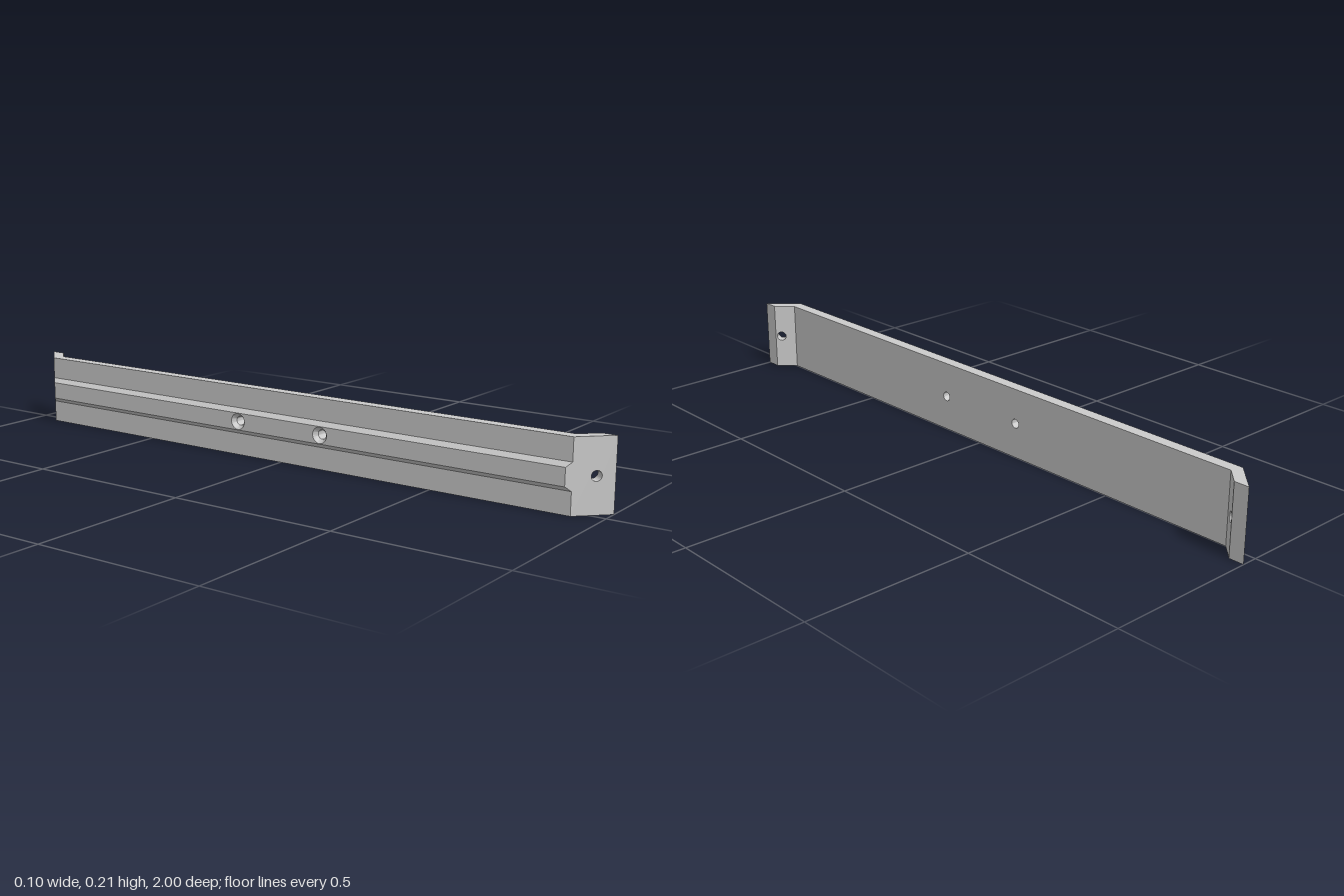
import * as THREE from 'three';
import { toCreasedNormals } from 'three/addons/utils/BufferGeometryUtils.js';

const MID = 0.104; // mid height of the bar

// Drilled slab between two rectangles { u: [lo, hi], h: half height, r: hole radius },
// extruded along local z from w0 to w1, then turned about y.
function slab(name, near, far, holes, w0, w1, angle) {
  const shape = new THREE.Shape([
    new THREE.Vector2(near.u[0], MID - near.h), new THREE.Vector2(near.u[1], MID - near.h),
    new THREE.Vector2(near.u[1], MID + near.h), new THREE.Vector2(near.u[0], MID + near.h),
  ]);
  for (const c of holes) {
    shape.holes.push(new THREE.Path().absarc(c, MID, near.r, 0, Math.PI * 2, true));
  }
  const geo = new THREE.ExtrudeGeometry(shape, { depth: w1 - w0, bevelEnabled: false, curveSegments: 16 });

  // move the far face's corners and hole rims to their own size
  const p = geo.attributes.position;
  const centre = (near.u[0] + near.u[1]) / 2;
  for (let i = 0; i < p.count; i++) {
    const x = p.getX(i), y = p.getY(i) - MID;
    if (p.getZ(i) < (w1 - w0) / 2) continue;
    const c = holes.find((h) => Math.hypot(x - h, y) < near.r + 1e-4);
    if (c !== undefined) {
      const k = far.r / near.r;
      p.setXY(i, c + (x - c) * k, MID + y * k);
    } else {
      p.setXY(i, x < centre ? far.u[0] : far.u[1], MID + Math.sign(y) * far.h);
    }
  }
  geo.translate(0, 0, w0);
  geo.rotateY(angle);
  const mesh = new THREE.Mesh(toCreasedNormals(geo, 0.5), new THREE.MeshStandardMaterial({ color: 0xcccccc }));
  mesh.name = name;
  return mesh;
}

export function createModel() {
  const group = new THREE.Group();
  group.name = 'mountingBar';
  const screws = [-0.147, 0.147];

  // long flat plate with mitred ends
  group.add(slab('plate',
    { u: [-0.918, 0.918], h: MID, r: 0.0135 },
    { u: [-0.908, 0.908], h: MID, r: 0.0135 },
    screws, -0.035, 0, Math.PI / 2));

  // chamfered rib along the back, with countersunk screw holes
  group.add(slab('rib',
    { u: [-0.905, 0.905], h: 0.0255, r: 0.024 },
    { u: [-0.918, 0.918], h: 0.0385, r: 0.0135 },
    screws, -0.048, -0.035, Math.PI / 2));

  // drilled end flanges bent forward at 45 degrees
  const d = Math.SQRT1_2;
  for (const s of [1, -1]) {
    const span = (a, b) => (s > 0 ? [-b * d, -a * d] : [a * d, b * d]);
    group.add(slab(s > 0 ? 'frontFlange' : 'backFlange',
      { u: span(0.883, 1.047), h: MID, r: 0.0145 },
      { u: span(0.908, 1.002), h: MID, r: 0.0145 },
      [-s * 0.975 * d], -0.953 * d, -0.908 * d, Math.PI / 2 + s * Math.PI / 4));
  }
  return group;
}
